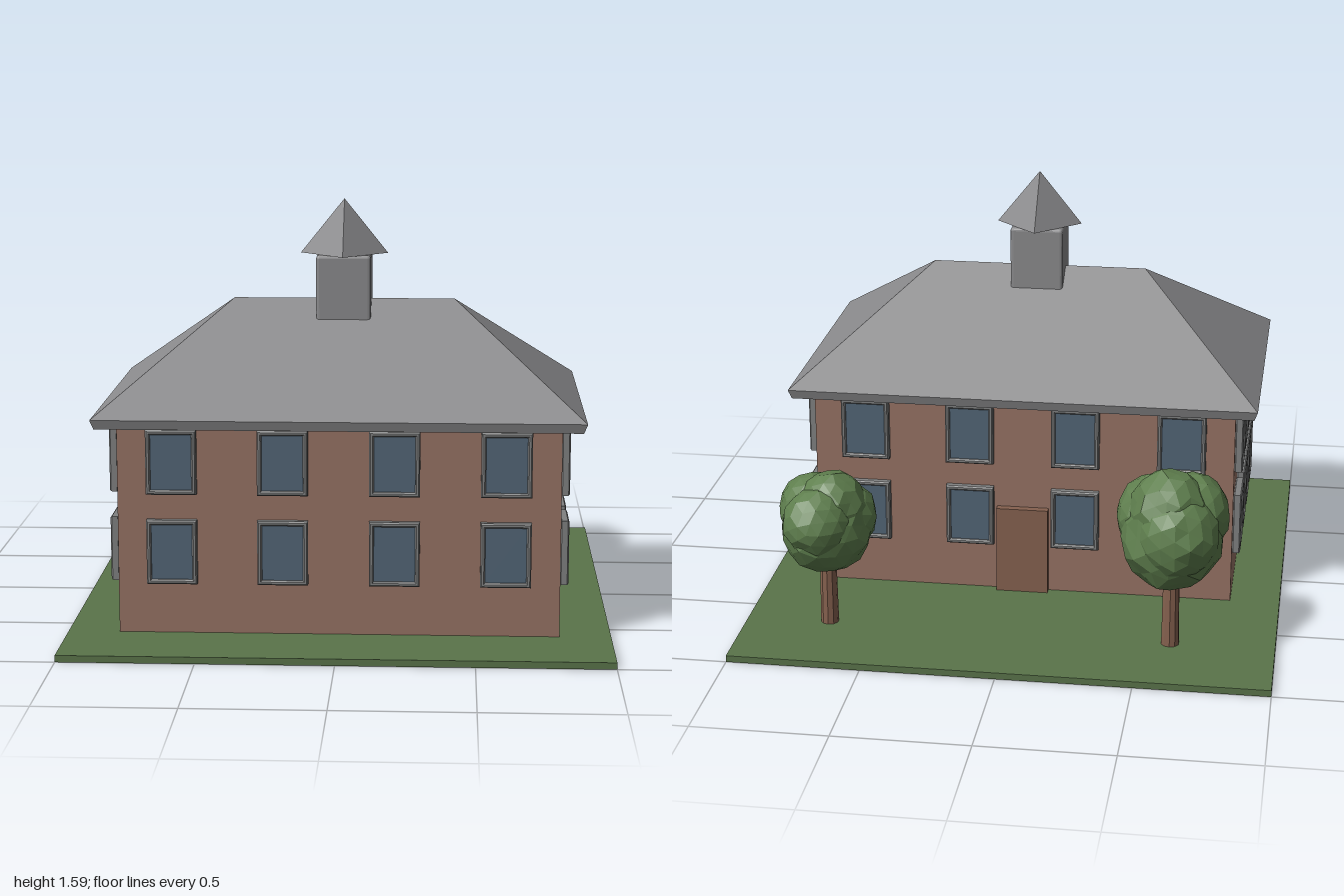
import * as THREE from 'three';
import { RoundedBoxGeometry } from 'three/addons/geometries/RoundedBoxGeometry.js';

const material = (name, color, extra = {}) => {
  const m = new THREE.MeshStandardMaterial({ color, ...extra });
  m.name = name;
  return m;
};

export function createModel() {
  const brick = material('brick', 0x967264);
  const slate = material('slate grey', 0x8a8a8c);
  const trim = material('trim grey', 0x808181);
  const glass = material('window blue', 0x526576);
  const grass = material('grass green', 0x5a744a);
  const leaf = material('leaf green', 0x5f7f4e);
  const wood = material('wood brown', 0x85614f);
  leaf.flatShading = wood.flatShading = slate.flatShading = true;

  const model = new THREE.Group();
  model.name = 'schoolhouse';
  const add = (parent, name, geometry, mat, x = 0, y = 0, z = 0) => {
    const mesh = new THREE.Mesh(geometry, mat);
    mesh.name = name;
    mesh.position.set(x, y, z);
    parent.add(mesh);
    return mesh;
  };

  // Lawn
  add(model, 'lawn', new THREE.BoxGeometry(2, 0.025, 2), grass, 0, 0.0125, 0);

  // Building, centred on its own origin
  const house = new THREE.Group();
  house.name = 'building';
  house.position.z = 0.21;
  model.add(house);
  const halfX = 0.81, halfZ = 0.477;
  add(house, 'walls', new THREE.BoxGeometry(halfX * 2, 0.79, halfZ * 2), brick, 0, 0.415, 0);

  // Hipped roof: rectangular rings from soffit to eave to ridge
  const rings = [[0.8, 0.882, 0.55], [0.835, 0.895, 0.56], [1.207, 0.417, 0]]
    .map(([y, x, z]) => [[-x, y, z], [x, y, z], [x, y, -z], [-x, y, -z]]);
  const points = [];
  const quad = (a, b, c, d) => points.push(...a, ...b, ...c, ...a, ...c, ...d);
  for (let r = 0; r < 2; r++) {
    for (let i = 0; i < 4; i++) {
      const j = (i + 1) % 4;
      quad(rings[r][i], rings[r][j], rings[r + 1][j], rings[r + 1][i]);
    }
  }
  quad(rings[0][3], rings[0][2], rings[0][1], rings[0][0]);
  const roof = new THREE.BufferGeometry();
  roof.setAttribute('position', new THREE.Float32BufferAttribute(points, 3));
  roof.computeVertexNormals();
  add(house, 'hippedRoof', roof, slate);

  // Cupola and its pyramid cap, turned cornerwise
  add(house, 'cupola', new RoundedBoxGeometry(0.205, 0.28, 0.205, 2, 0.012), slate, 0, 1.24, 0);
  add(house, 'cupolaCap', new THREE.ConeGeometry(0.165, 0.205, 4), slate, 0, 1.4825, 0);

  // Window frame with a bevelled edge, and its pane
  const rect = (Type, w, h) => new Type([[-w, -h], [w, -h], [w, h], [-w, h]]
    .map(([x, y]) => new THREE.Vector2(x / 2, y / 2)));
  const frameShape = rect(THREE.Shape, 0.185, 0.24);
  frameShape.holes.push(rect(THREE.Path, 0.15, 0.205));
  const frameGeometry = new THREE.ExtrudeGeometry(frameShape, {
    depth: 0.022, bevelSize: 0.005, bevelThickness: 0.005, bevelOffset: -0.005, bevelSegments: 1,
  });
  const paneGeometry = new THREE.BoxGeometry(0.156, 0.211, 0.008);
  const addWindow = (x, y, z, turn) => {
    const w = new THREE.Group();
    w.name = 'window';
    add(w, 'windowFrame', frameGeometry, trim, 0, 0, 0.004);
    add(w, 'windowPane', paneGeometry, glass, 0, 0, 0.017);
    w.position.set(x, y, z);
    w.rotation.y = turn;
    house.add(w);
  };
  for (const y of [0.335, 0.67]) {
    for (const side of [1, -1]) {
      for (const x of [-0.61, -0.204, 0.204, 0.61]) {
        addWindow(x, y, side * halfZ, side > 0 ? 0 : Math.PI);
      }
      for (const z of [-0.36, -0.12, 0.12, 0.36]) {
        addWindow(side * halfX, y, z, side * Math.PI / 2);
      }
    }
  }

  // Back door
  add(house, 'backDoor', new THREE.BoxGeometry(0.2, 0.35, 0.04), wood, 0, 0.195, -halfZ - 0.01);

  // Trees: overlapping faceted lumps on a trunk
  const lumps = [
    [0, -0.12, 0, 0.88], [0.3, 0.12, 0.22, 0.68], [-0.3, 0.2, 0.18, 0.67],
    [0.05, 0.35, -0.12, 0.66], [-0.12, 0.02, -0.32, 0.7],
  ];
  const addTree = (x, z, canopyY, radius, halfHeight, turn) => {
    const tree = new THREE.Group();
    tree.name = 'tree';
    tree.position.set(x, 0, z);
    model.add(tree);
    add(tree, 'trunk', new THREE.CylinderGeometry(0.03, 0.034, 0.34, 10), wood, 0, 0.19, 0);
    const canopy = new THREE.Group();
    canopy.name = 'canopy';
    canopy.position.set(0, canopyY, -0.01);
    canopy.scale.set(radius, halfHeight, radius);
    canopy.rotation.y = turn;
    tree.add(canopy);
    lumps.forEach(([lx, ly, lz, lr], i) => {
      const g = new THREE.IcosahedronGeometry(lr, 2);
      const p = g.attributes.position;
      const v = new THREE.Vector3();
      for (let k = 0; k < p.count; k++) {
        v.fromBufferAttribute(p, k);
        const bump = Math.sin(v.x * 9 + i) * Math.sin(v.y * 8 + 2 * i) * Math.sin(v.z * 10 + 1);
        v.multiplyScalar(1 + 0.07 * bump);
        p.setXYZ(k, v.x, v.y, v.z);
      }
      g.computeVertexNormals();
      add(canopy, 'leafLump', g, leaf, lx, ly, lz);
    });
  };
  addTree(-0.61, -0.67, 0.495, 0.215, 0.232, 0);
  addTree(0.685, -0.655, 0.44, 0.192, 0.195, 2);

  return model;
}
